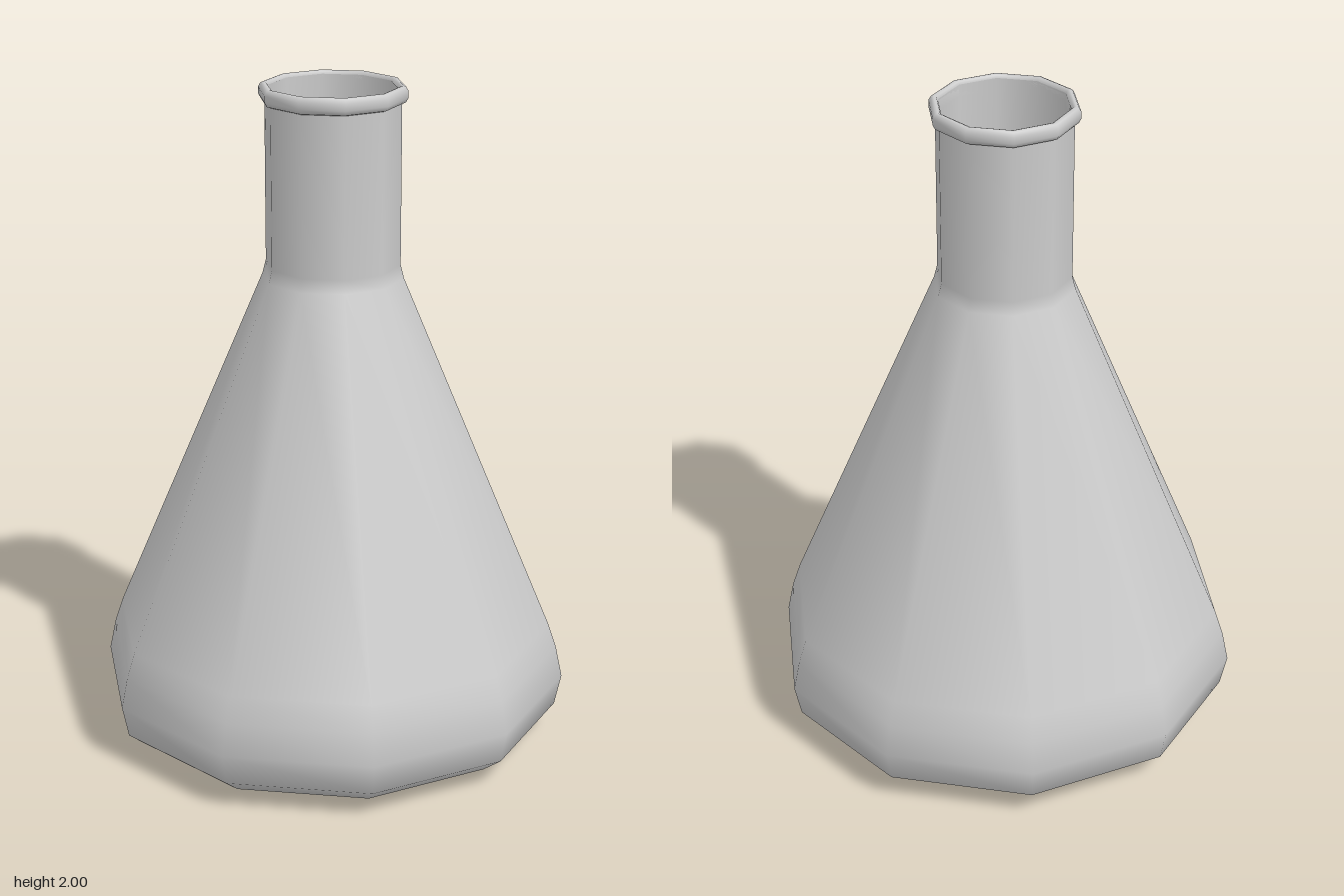
import * as THREE from 'three';

const SIDES = 10;

export function createModel() {
  const flask = new THREE.Group();
  flask.name = 'conicalFlask';
  const material = new THREE.MeshStandardMaterial({ color: 0xcccccc });

  const add = (name, geometry) => {
    const mesh = new THREE.Mesh(geometry, material);
    mesh.name = name;
    flask.add(mesh);
    return mesh;
  };
  // profile: [radius, height] pairs; rising profiles face outward
  const lathe = (name, profile) =>
    add(name, new THREE.LatheGeometry(profile.map(([r, y]) => new THREE.Vector2(r, y)), SIDES));
  // ten-sided disc with corners on the z axis
  const disc = (name, radius, y, facing) => {
    const geometry = new THREE.CircleGeometry(radius, SIDES, Math.PI / 2);
    geometry.rotateX(facing * -Math.PI / 2);
    add(name, geometry).position.y = y;
  };

  // Rounded foot, conical body and straight neck
  const wall = [
    [0.54, 0], [0.625, 0.035], [0.69, 0.085], [0.71, 0.18], [0.69, 0.275],
    [0.665, 0.35], [0.21, 1.43], [0.2, 1.47], [0.2, 1.96],
  ];
  lathe('outerWall', wall);

  // Thin inner wall, running from the mouth down to the floor
  const inside = wall.map(([r, y]) => [r - 0.01, Math.max(y, 0.01)]);
  inside[inside.length - 1][1] = 1.99;
  lathe('innerWall', inside.reverse());

  disc('base', 0.54, 0, -1);
  disc('innerFloor', 0.53, 0.01, 1);

  // Rolled lip around the mouth
  lathe('rim', [
    [0.19, 1.955], [0.2, 1.948], [0.211, 1.952], [0.218, 1.965], [0.218, 1.985],
    [0.211, 1.997], [0.203, 2], [0.195, 1.997], [0.19, 1.985], [0.19, 1.955],
  ]);

  return flask;
}
